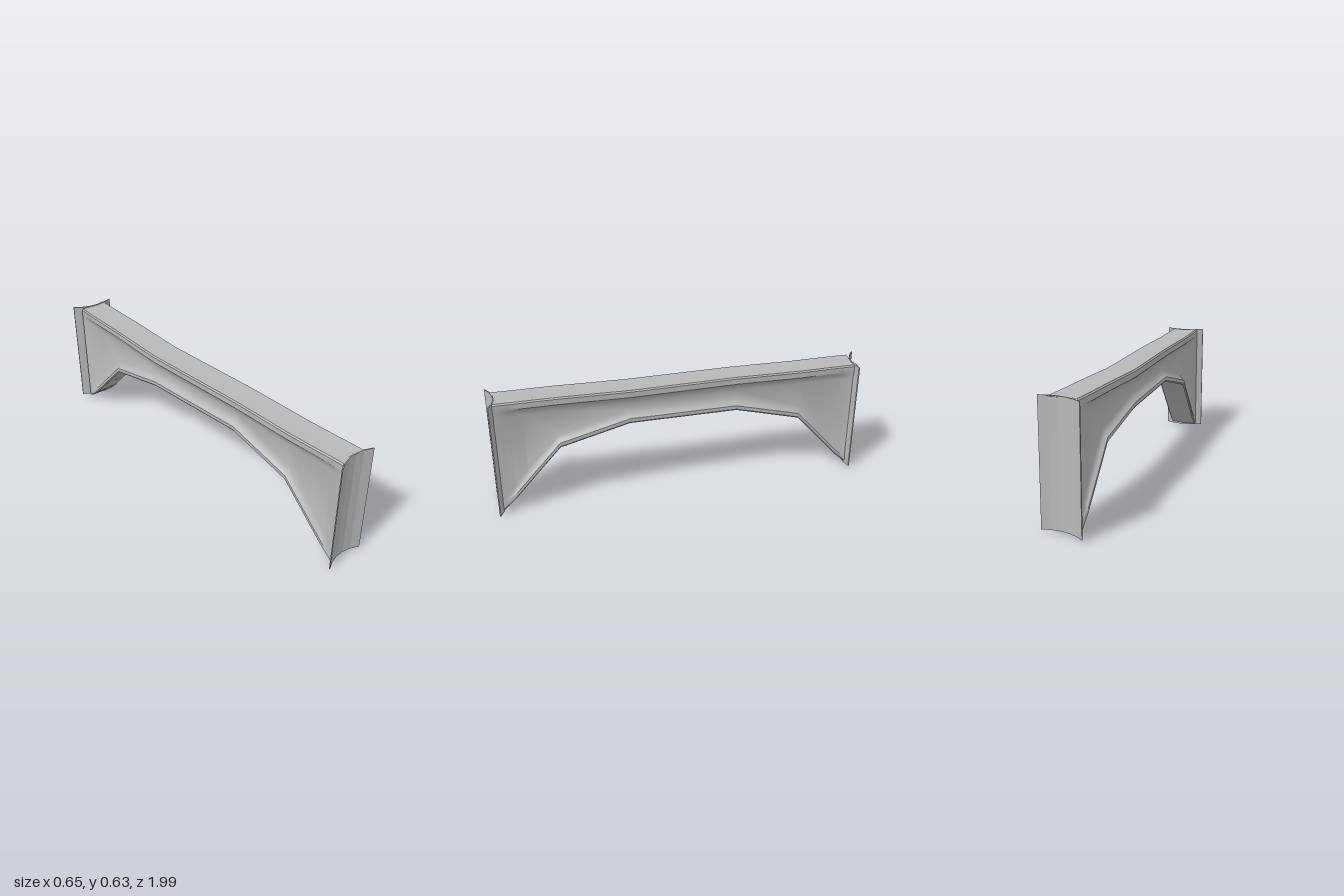
import * as THREE from 'three';
import { toCreasedNormals } from 'three/addons/utils/BufferGeometryUtils.js';

// Stations along the beam: centre x, z, underside y, top y, web recess, end bow
const STATIONS = [
  [-0.215, -0.957, 0.007, 0.62, 0.0, -0.012],
  [-0.211, -0.935, 0.025, 0.62, 0.008, -0.006],
  [-0.202, -0.89, 0.07, 0.619, 0.019, 0],
  [-0.188, -0.82, 0.148, 0.618, 0.024, 0],
  [-0.152, -0.65, 0.335, 0.616, 0.026, 0],
  [-0.09, -0.3, 0.421, 0.614, 0.026, 0],
  [0.055, 0.27, 0.43, 0.617, 0.026, 0],
  [0.13, 0.63, 0.335, 0.622, 0.026, 0],
  [0.172, 0.8, 0.148, 0.624, 0.024, 0],
  [0.189, 0.865, 0.076, 0.625, 0.019, 0],
  [0.2, 0.905, 0.032, 0.626, 0.008, 0.007],
  [0.207, 0.93, 0.005, 0.626, 0.0, 0.015],
];
const HALF_WIDTH = 0.077;

// Closed I-shaped section, as [side offset, y], counter-clockwise seen from +z
function section(bottom, top, recess) {
  const w = HALF_WIDTH;
  const right = [
    [w - 0.006, bottom],
    [w, bottom + 0.008],
    [w, bottom + 0.028],
    [w - recess * 0.6, bottom + 0.042],
    [w - recess, bottom + 0.065],
    [w - recess, top - 0.085],
    [w - recess * 0.6, top - 0.055],
    [w, top - 0.038],
    [w, top - 0.008],
    [w - 0.006, top],
  ];
  const left = right.map(([s, y]) => [-s, y]).reverse();
  return [[0, bottom], ...right, [0, top - 0.002], ...left];
}

function beamGeometry() {
  const positions = [];
  const index = [];
  let n = 0;
  STATIONS.forEach(([x, z, bottom, top, recess, bow], i) => {
    const loop = section(bottom, top, recess);
    n = loop.length;
    loop.forEach(([s, y], j) => {
      const u = s / HALF_WIDTH;
      positions.push(x + s * 0.98, y, z - s * 0.2 + bow * u * u);
      if (i === 0) return;
      const k = (j + 1) % n;
      const a = (i - 1) * n + j, b = (i - 1) * n + k;
      const c = i * n + k, d = i * n + j;
      index.push(a, b, c, a, c, d);
    });
  });
  const geometry = new THREE.BufferGeometry();
  geometry.setAttribute('position', new THREE.Float32BufferAttribute(positions, 3));
  geometry.setIndex(index);
  return toCreasedNormals(geometry, 0.6);
}

// Faceted saddle plate, hollow towards the outward direction (dx, dz)
function saddleGeometry(cx, cz, dx, dz, sag, y0, y1) {
  const facets = 5, half = 0.113, thickness = 0.006;
  const outer = [], inner = [];
  for (let i = 0; i <= facets; i++) {
    const u = (i / facets) * 2 - 1;
    const x = cx + dz * u * half + dx * sag * u * u;
    const z = cz - dx * u * half + dz * sag * u * u;
    outer.push(new THREE.Vector2(x, -z));
    inner.unshift(new THREE.Vector2(x - dx * thickness, -(z - dz * thickness)));
  }
  const shape = new THREE.Shape([...outer, ...inner]);
  const geometry = new THREE.ExtrudeGeometry(shape, { depth: y1 - y0, bevelEnabled: false });
  return geometry.rotateX(-Math.PI / 2).translate(0, y0, 0);
}

export function createModel() {
  const group = new THREE.Group();
  group.name = 'archedBrace';
  const grey = new THREE.MeshStandardMaterial({ color: 0xb8b8b8 });
  grey.name = 'grey';

  const add = (name, geometry) => {
    const mesh = new THREE.Mesh(geometry, grey);
    mesh.name = name;
    group.add(mesh);
  };
  add('archedBeam', beamGeometry());
  add('frontSaddlePlate', saddleGeometry(0.207, 0.932, 0.22, 0.976, 0.035, 0, 0.628));
  add('backSaddlePlate', saddleGeometry(-0.215, -0.961, 0.04, -1, 0.03, 0.007, 0.622));
  return group;
}
